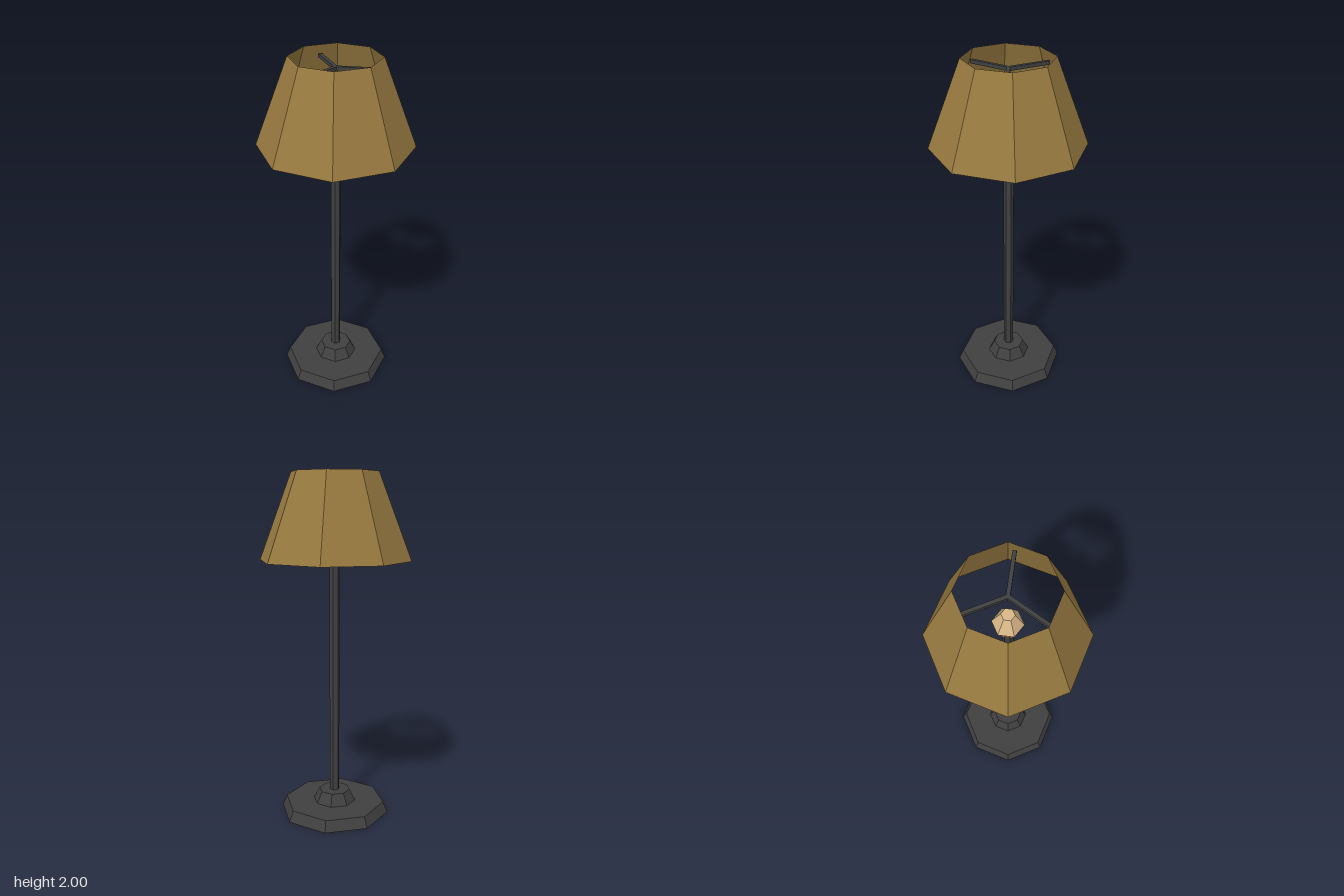
import * as THREE from 'three';

export function createModel() {
  const material = (name, color, side = THREE.FrontSide) => {
    const m = new THREE.MeshStandardMaterial({ color, flatShading: true, side });
    m.name = name;
    return m;
  };
  const metal = material('dark metal', 0x404040, THREE.DoubleSide);
  const fabric = material('ochre shade', 0x987a40, THREE.DoubleSide);
  const glass = material('warm bulb', 0xd9b888);

  const lamp = new THREE.Group();
  lamp.name = 'floorLamp';
  const add = (name, geometry, mat, y = 0) => {
    const mesh = new THREE.Mesh(geometry, mat);
    mesh.name = name;
    mesh.position.y = y;
    lamp.add(mesh);
    return mesh;
  };

  // Octagonal frustum with flats facing the axes; radii are measured to the flats
  const octagon = (top, bottom, y0, y1) => {
    const k = 1 / Math.cos(Math.PI / 8);
    return new THREE.CylinderGeometry(top * k, bottom * k, y1 - y0, 8, 1, true, Math.PI / 8)
      .translate(0, (y0 + y1) / 2, 0);
  };
  // Flat octagonal lid facing up
  const lid = (r) => new THREE.CircleGeometry(r / Math.cos(Math.PI / 8), 8, Math.PI / 8)
    .rotateX(-Math.PI / 2);

  // Hollow foot and its collar
  add('footRim', octagon(0.275, 0.3, 0, 0.063), metal);
  add('footTop', lid(0.275), metal, 0.063);
  add('collarSide', octagon(0.085, 0.117, 0.063, 0.13), metal);
  add('collarTop', lid(0.085), metal, 0.13);

  // Six-sided pole
  add('pole', new THREE.CylinderGeometry(0.029, 0.029, 1.45, 6, 1, false, Math.PI / 6), metal, 0.855);

  // Faceted bulb, six-sided, with corners on the x axis
  const profile = [[0, 1.57], [0.045, 1.57], [0.082, 1.66], [0.035, 1.755], [0, 1.755]]
    .map(([r, y]) => new THREE.Vector2(r, y));
  add('bulb', new THREE.LatheGeometry(profile, 6, Math.PI / 6), glass);

  // Open octagonal shade
  add('shade', octagon(0.228, 0.402, 1.513, 2), fabric);

  // Three spokes under the top of the shade
  for (let i = 0; i < 3; i++) {
    const spoke = add('spoke', new THREE.BoxGeometry(0.02, 0.02, 0.235).translate(0, 0, -0.1175), metal, 1.94);
    spoke.rotation.y = (i * Math.PI * 2) / 3;
  }
  return lamp;
}
